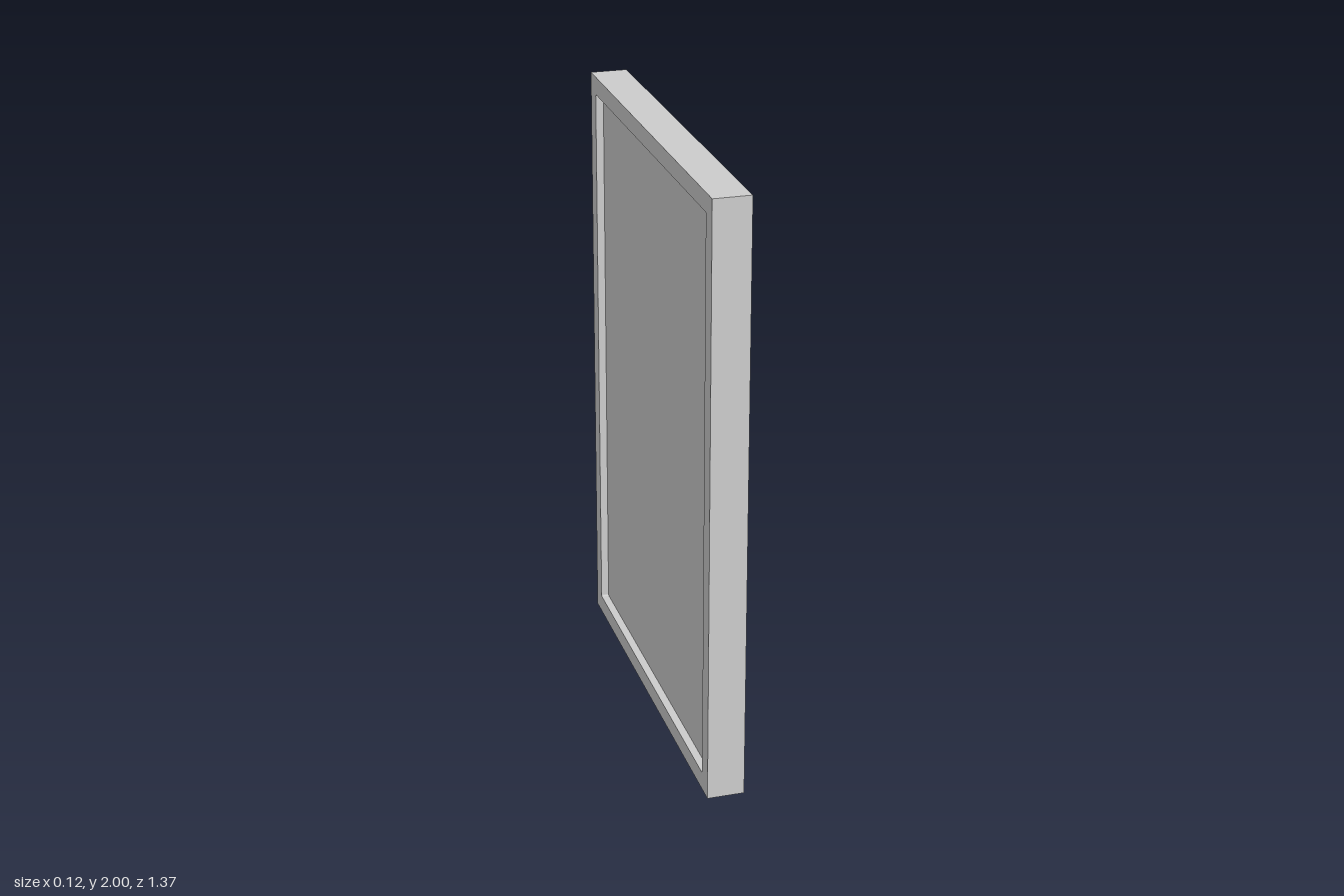
import * as THREE from 'three';

const HEIGHT = 2, WIDTH = 1.37, DEPTH = 0.122;
const BORDER = 0.06, RECESS = 0.026, CORNER = 0.006;

// Rectangle outline centred on the origin, with small rounded corners
function roundedRect(path, w, h, r) {
  const x = w / 2 - r, y = h / 2 - r;
  path.absarc(x, y, r, 0, Math.PI / 2);
  path.absarc(-x, y, r, Math.PI / 2, Math.PI);
  path.absarc(-x, -y, r, Math.PI, Math.PI * 1.5);
  path.absarc(x, -y, r, Math.PI * 1.5, Math.PI * 2);
  path.closePath();
  return path;
}

export function createModel() {
  const group = new THREE.Group();
  group.name = 'framedPanel';
  const material = new THREE.MeshStandardMaterial({ color: 0xcccccc });
  const innerW = WIDTH - 2 * BORDER, innerH = HEIGHT - 2 * BORDER;

  // Frame: square outside, opening with slightly eased corners
  const outline = new THREE.Shape([
    new THREE.Vector2(-WIDTH / 2, -HEIGHT / 2),
    new THREE.Vector2(WIDTH / 2, -HEIGHT / 2),
    new THREE.Vector2(WIDTH / 2, HEIGHT / 2),
    new THREE.Vector2(-WIDTH / 2, HEIGHT / 2),
  ]);
  outline.holes.push(roundedRect(new THREE.Path(), innerW, innerH, CORNER));
  const frameGeometry = new THREE.ExtrudeGeometry(outline, {
    depth: DEPTH, bevelEnabled: false, curveSegments: 4,
  });
  frameGeometry.translate(0, 0, -DEPTH / 2).rotateY(Math.PI / 2);
  const frame = new THREE.Mesh(frameGeometry, material);
  frame.name = 'frame';

  // Panel: recessed equally on both faces
  const panel = new THREE.Mesh(
    new THREE.BoxGeometry(DEPTH - 2 * RECESS, innerH, innerW), material);
  panel.name = 'panel';

  for (const part of [frame, panel]) {
    part.position.y = HEIGHT / 2;
    group.add(part);
  }
  return group;
}
